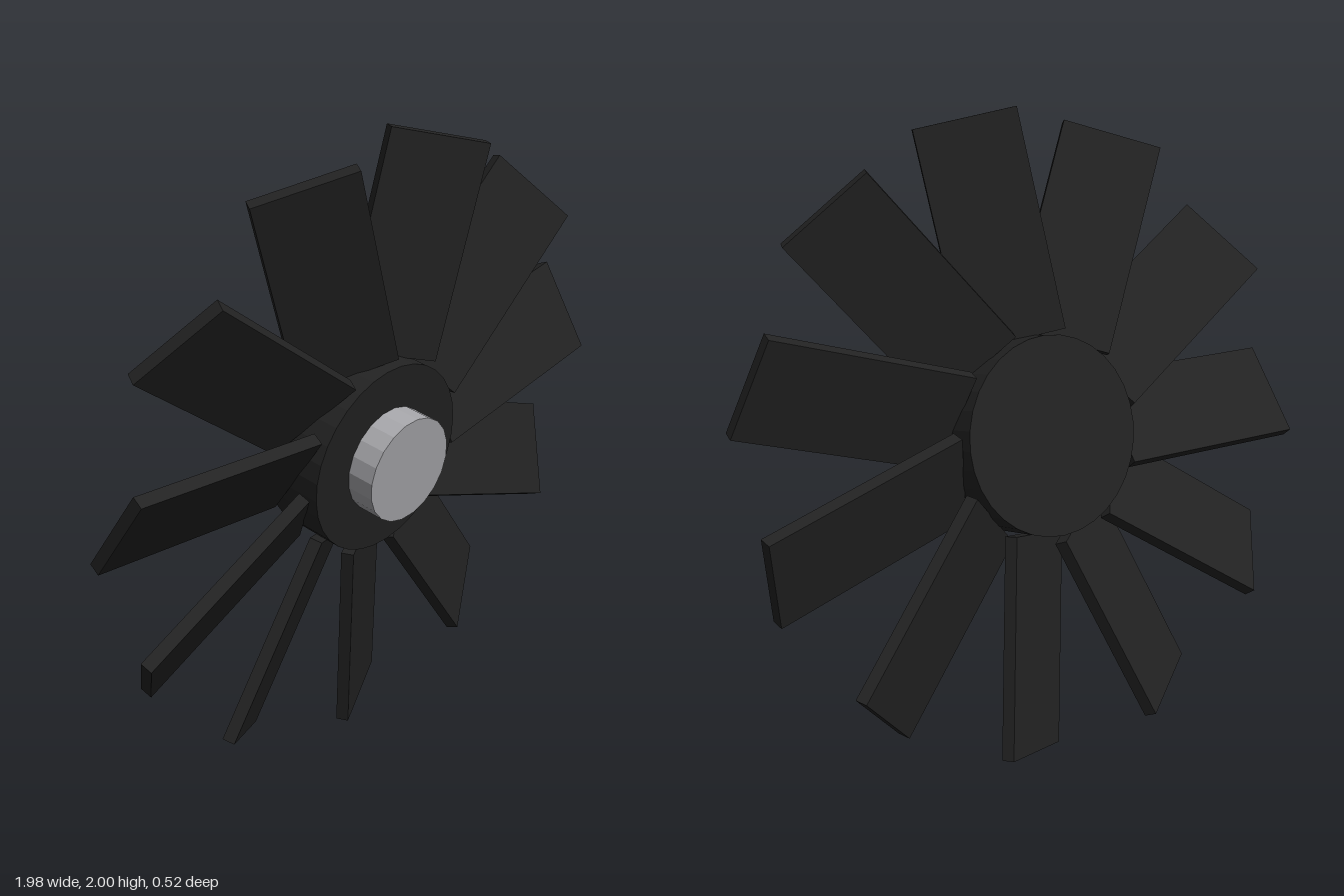
import * as THREE from 'three';

const BLADES = 11;
const HUB_RADIUS = 0.31;
const BLADE_INNER = 0.305;
const BLADE_OUTER = 0.99;

export function createModel() {
  const black = new THREE.MeshStandardMaterial({ color: 0x222222 });
  black.name = 'black';
  const silver = new THREE.MeshStandardMaterial({ color: 0xa6a6aa });
  silver.name = 'silver';
  black.flatShading = silver.flatShading = true;

  const model = new THREE.Group();
  model.name = 'fan';

  // whole rotor leans forward at the top
  const rotor = new THREE.Group();
  rotor.name = 'rotor';
  rotor.position.y = 1;
  rotor.rotation.x = THREE.MathUtils.degToRad(10);
  model.add(rotor);

  // disc with its axis along z, spanning two depths
  const disc = (name, radius, back, front, sides, material) => {
    const geometry = new THREE.CylinderGeometry(radius, radius, front - back, sides);
    geometry.rotateX(Math.PI / 2);
    const mesh = new THREE.Mesh(geometry, material);
    mesh.name = name;
    mesh.position.z = (front + back) / 2;
    rotor.add(mesh);
  };
  disc('hub', HUB_RADIUS, -0.1, 0.1, 32, black);
  disc('hubCap', 0.172, 0.1, 0.193, 20, silver);

  // flat pitched blades around the hub
  const bladeGeometry = new THREE.BoxGeometry(BLADE_OUTER - BLADE_INNER, 0.32, 0.04);
  bladeGeometry.rotateX(THREE.MathUtils.degToRad(-28.5));
  bladeGeometry.translate((BLADE_OUTER + BLADE_INNER) / 2, 0, 0);
  for (let i = 0; i < BLADES; i++) {
    const blade = new THREE.Mesh(bladeGeometry, black);
    blade.name = `blade${i + 1}`;
    blade.rotation.z = Math.PI + (i * Math.PI * 2) / BLADES;
    rotor.add(blade);
  }

  return model;
}
